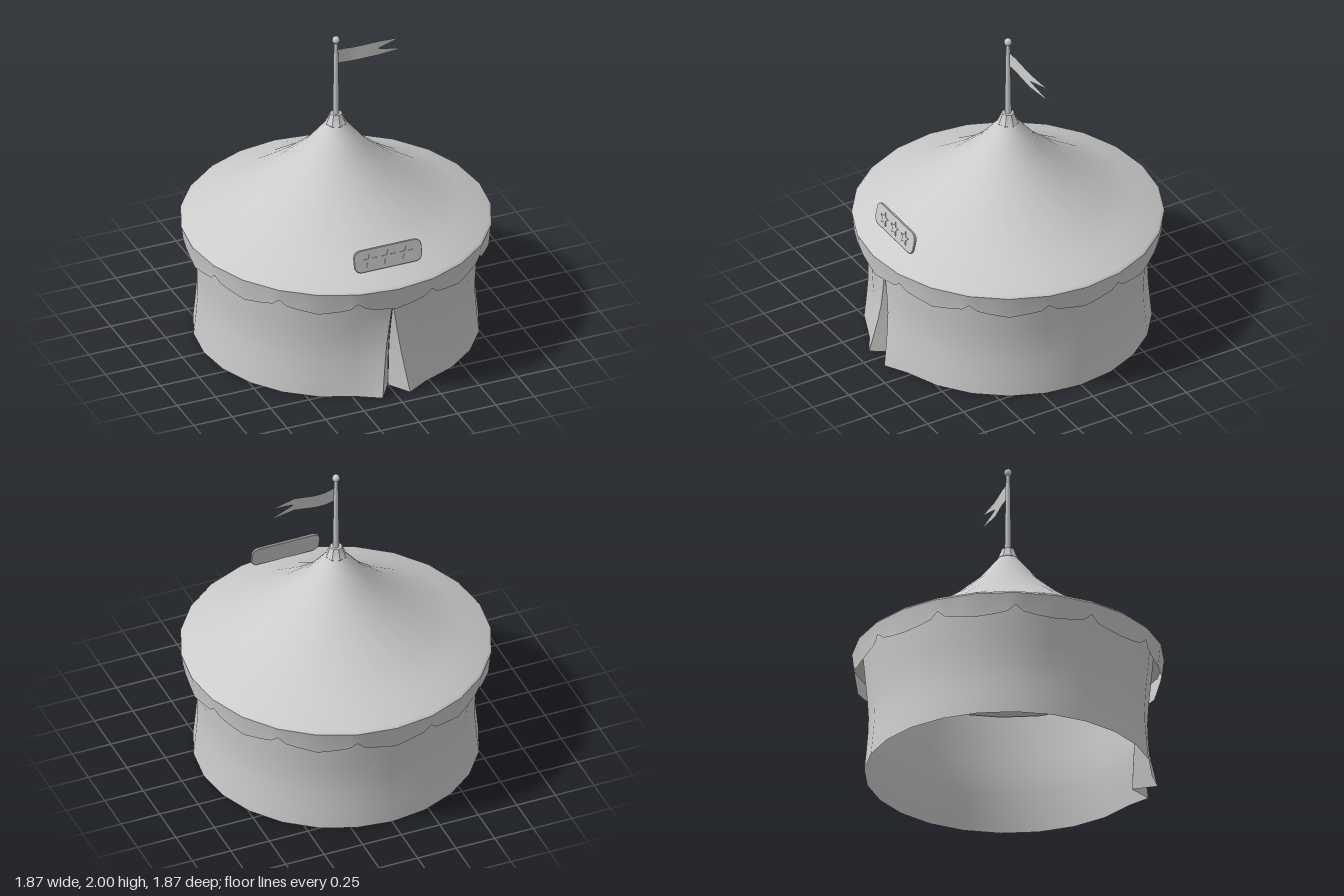
import * as THREE from 'three';
import { toCreasedNormals } from 'three/addons/utils/BufferGeometryUtils.js';

const SIDES = 24;
const solid = new THREE.MeshStandardMaterial({ color: 0xcccccc });
const cloth = new THREE.MeshStandardMaterial({ color: 0xcccccc, side: THREE.DoubleSide });

function add(parent, name, geometry, material = solid) {
  const mesh = new THREE.Mesh(geometry, material);
  mesh.name = name;
  parent.add(mesh);
  return mesh;
}

// Joins rows of points (bottom to top, left to right seen from outside) into a sheet
function sheet(rows, crease = 0.7) {
  const w = rows[0].length, index = [];
  for (let r = 0; r < rows.length - 1; r++) {
    for (let c = 0; c < w - 1; c++) {
      const a = r * w + c, b = a + 1, d = a + w, e = d + 1;
      index.push(a, b, e, a, e, d);
    }
  }
  const geo = new THREE.BufferGeometry();
  geo.setAttribute('position', new THREE.Float32BufferAttribute(rows.flat(2), 3));
  geo.setIndex(index);
  return toCreasedNormals(geo, crease);
}

const lathe = (points, sides) =>
  new THREE.LatheGeometry(points.map(([r, y]) => new THREE.Vector2(r, y)), sides);

// Point on a regular polygon, so extra columns lie on its flat facets
function onFacet(radius, deg, y) {
  const step = 360 / SIDES, k = Math.floor(deg / step), f = deg / step - k;
  const a = THREE.MathUtils.degToRad(k * step), b = THREE.MathUtils.degToRad((k + 1) * step);
  return [
    radius * THREE.MathUtils.lerp(Math.sin(a), Math.sin(b), f), y,
    radius * THREE.MathUtils.lerp(Math.cos(a), Math.cos(b), f),
  ];
}

// Waisted wall whose two front edges flare outward and fold in to a slit
function wallGeometry() {
  const profile = [[0.86, 0], [0.848, 0.12], [0.838, 0.24], [0.835, 0.34],
    [0.842, 0.46], [0.856, 0.61], [0.87, 0.77]];
  return sheet(profile.map(([r, y]) => {
    const t = Math.max(0, 1 - y / 0.61);
    const half = [[0.001, y, r - 0.08 * t], [0.088 * t + 0.001, y, r + 0.05 * t]];
    const row = [...half];
    for (let i = 1; i < SIDES; i++) row.push(onFacet(r, i * 360 / SIDES, y));
    half.reverse().forEach(([x, py, z]) => row.push([-x, py, z]));
    return row;
  }));
}

// Hanging trim with twelve shallow scallops parted by pointed notches
function valanceGeometry() {
  const hem = [[0, 0.608], [7, 0.622], [12, 0.638], [15, 0.678], [18, 0.638], [23, 0.622]];
  const columns = [];
  for (let i = 0; i < 12; i++) hem.forEach(([d, y]) => columns.push([i * 30 + d, y]));
  columns.push([360, 0.608]);
  return sheet([
    columns.map(([d, y]) => onFacet(0.918 + (y - 0.608) * 0.1, d, y)),
    columns.map(([d]) => onFacet(0.931, d, 0.735)),
    columns.map(([d]) => onFacet(0.935, d, 0.752)),
  ]);
}

function starShape(outer, inner) {
  const points = [];
  for (let i = 0; i < 10; i++) {
    const r = i % 2 ? inner : outer, a = Math.PI / 2 + i * Math.PI / 5;
    points.push(new THREE.Vector2(r * Math.cos(a), r * Math.sin(a)));
  }
  return new THREE.Shape(points);
}

function roundedRect(w, h, r) {
  const s = new THREE.Shape(), x = w / 2 - r, y = h / 2 - r;
  s.absarc(x, y, r, 0, Math.PI / 2);
  s.absarc(-x, y, r, Math.PI / 2, Math.PI);
  s.absarc(-x, -y, r, Math.PI, Math.PI * 1.5);
  s.absarc(x, -y, r, Math.PI * 1.5, Math.PI * 2);
  return s;
}

// Tilted plaque with three raised stars
function createSign() {
  const sign = new THREE.Group();
  sign.name = 'sign';
  add(sign, 'signBoard', new THREE.ExtrudeGeometry(roundedRect(0.44, 0.142, 0.045), {
    depth: 0.01, bevelSize: 0.003, bevelThickness: 0.003, bevelOffset: -0.003,
    bevelSegments: 1, curveSegments: 5,
  }));
  for (const x of [-0.118, 0, 0.118]) {
    const star = add(sign, 'star', new THREE.ExtrudeGeometry(starShape(0.045, 0.019),
      { depth: 0.006, bevelEnabled: false }));
    star.position.set(x, -0.003, 0.012);
  }
  sign.position.set(0, 0.898, 0.772);
  sign.rotation.x = -0.2;
  return sign;
}

// Swallow-tailed pennant, waving slightly
function flagGeometry() {
  const bottom = [[0.012, 1.81, 0], [0.07, 1.802, -0.008], [0.13, 1.8, -0.006],
    [0.27, 1.809, 0.008], [0.45, 1.8, -0.02]];
  const middle = [[0.012, 1.857, 0], [0.07, 1.85, -0.01], [0.13, 1.846, -0.008],
    [0.27, 1.852, 0.006], [0.272, 1.853, 0.006]];
  const top = [[0.012, 1.905, 0], [0.07, 1.896, -0.01], [0.13, 1.891, -0.01],
    [0.27, 1.9, 0.002], [0.43, 1.88, -0.02]];
  return sheet([bottom, middle, top]);
}

export function createModel() {
  const tent = new THREE.Group();
  tent.name = 'tent';

  add(tent, 'wall', wallGeometry(), cloth);
  add(tent, 'valance', valanceGeometry(), cloth);

  // Concave conical roof
  add(tent, 'roof', lathe([[0.935, 0.752], [0.92, 0.768], [0.77, 0.84], [0.595, 0.928],
    [0.365, 1.09], [0.19, 1.245], [0.06, 1.405]], SIDES), cloth);

  // Collar and pole at the peak
  add(tent, 'collar', toCreasedNormals(lathe([[0.05, 1.392], [0.064, 1.394], [0.066, 1.404],
    [0.06, 1.41], [0.038, 1.467], [0, 1.467]], 8), 0.5), cloth);
  add(tent, 'pole', new THREE.CylinderGeometry(0.013, 0.021, 0.52, 8)).position.y = 1.72;
  add(tent, 'poleKnob', new THREE.SphereGeometry(0.025, 8, 6)).position.y = 1.975;
  add(tent, 'flag', flagGeometry(), cloth);

  tent.add(createSign());
  return tent;
}
